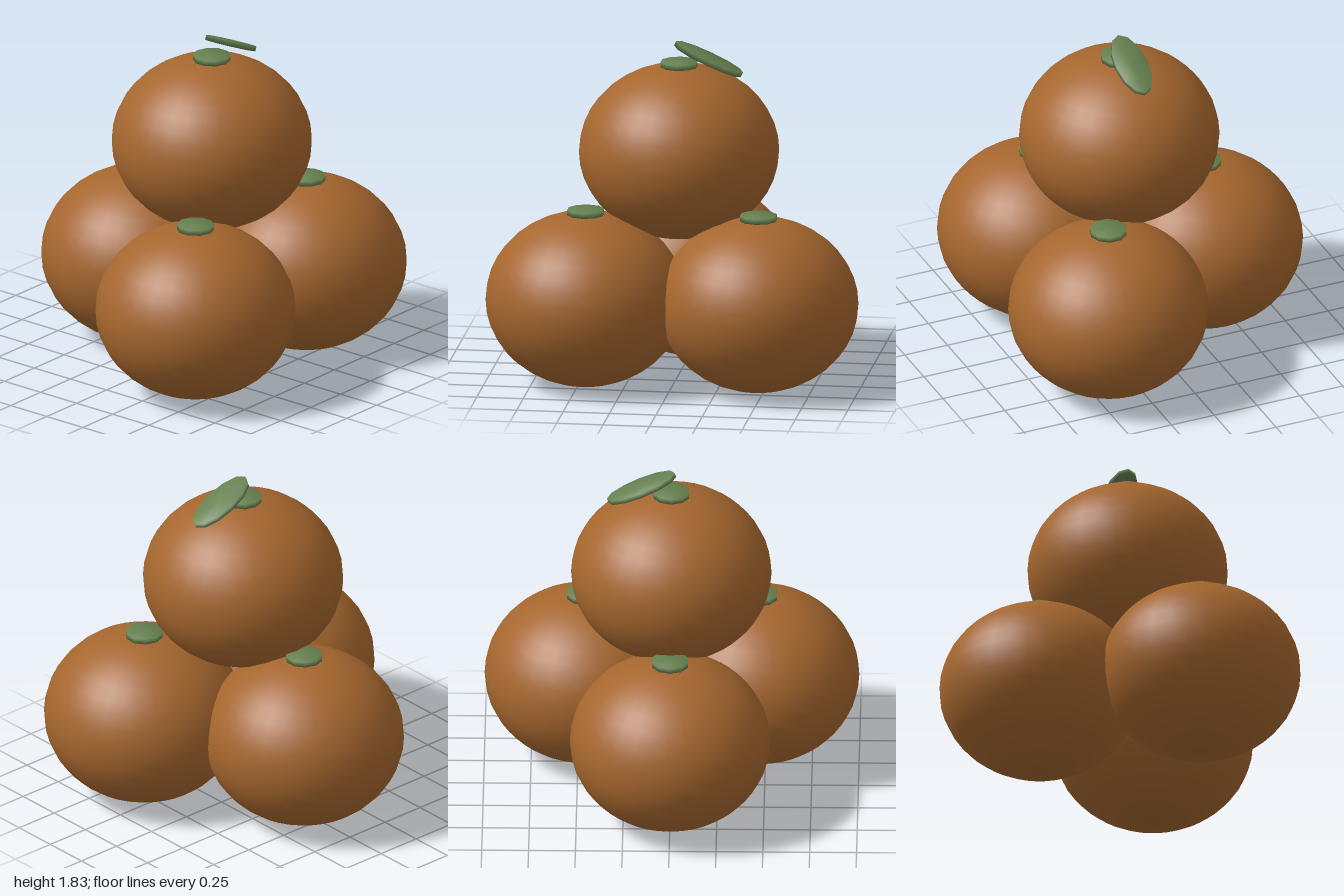
import * as THREE from 'three';
import { mergeVertices } from 'three/addons/utils/BufferGeometryUtils.js';

const R = 0.535, RY = 0.47;

// Thin disc whose rim normals are blended so it shades softly
function softDisc(radius, height, sides) {
  const geo = new THREE.CylinderGeometry(radius, radius, height, sides);
  geo.deleteAttribute('uv');
  geo.deleteAttribute('normal');
  const merged = mergeVertices(geo, 1e-4);
  merged.computeVertexNormals();
  return merged;
}

export function createModel() {
  const model = new THREE.Group();
  model.name = 'fruitPile';

  const skin = new THREE.MeshStandardMaterial({ color: 0xa5662e });
  skin.name = 'orange skin';
  const green = new THREE.MeshStandardMaterial({ color: 0x668050 });
  green.name = 'leaf green';

  const fruitGeo = new THREE.SphereGeometry(R, 32, 20);
  fruitGeo.scale(1, RY / R, 1);
  const stemGeo = softDisc(0.1, 0.03, 10);

  // One squashed fruit with its flat stem cap
  function addFruit(name, x, y, z) {
    const group = new THREE.Group();
    group.name = name;
    const body = new THREE.Mesh(fruitGeo, skin);
    body.name = 'fruitBody';
    const stem = new THREE.Mesh(stemGeo, green);
    stem.name = 'stemCap';
    stem.position.y = RY + 0.006;
    group.add(body, stem);
    group.position.set(x, y, z);
    model.add(group);
  }

  // Three fruits below, one resting on top
  addFruit('leftFruit', 0.465, RY, 0.38);
  addFruit('rightFruit', -0.465, RY, 0.38);
  addFruit('backFruit', 0, RY, -0.38);
  addFruit('topFruit', 0, 1.232, 0.108);

  // Tilted oval leaf above the top fruit
  const leafGeo = softDisc(1, 0.027, 12);
  leafGeo.scale(0.197, 1, 0.09);
  leafGeo.computeVertexNormals();
  const leaf = new THREE.Mesh(leafGeo, green);
  leaf.name = 'leaf';
  leaf.position.set(0.159, 1.741, 0.108);
  leaf.rotation.z = -0.42;
  model.add(leaf);

  return model;
}
